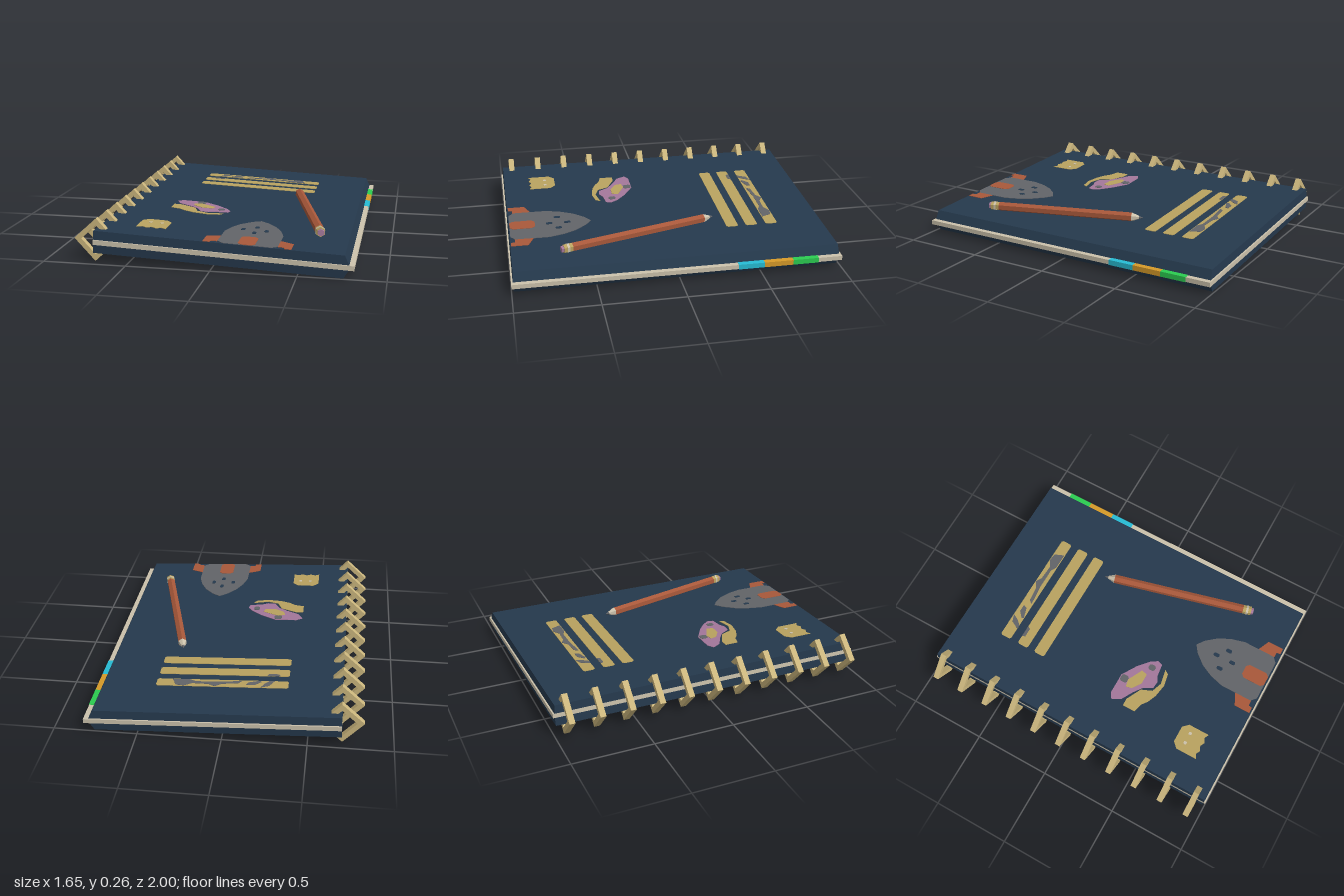
import * as THREE from 'three';

const mat = (name, color) => {
  const m = new THREE.MeshStandardMaterial({ color });
  m.name = name;
  m.flatShading = true;
  return m;
};

export function createModel() {
  const navy = mat('navy', 0x25394d), cream = mat('cream', 0xcbc1ab), gold = mat('gold', 0xb9a25f),
    brass = mat('brass', 0xcbb67d), green = mat('green', 0x2bcc50), amber = mat('amber', 0xd69a28),
    cyan = mat('cyan', 0x26bcd4), rust = mat('rust', 0xa8583a), grey = mat('grey', 0x626468),
    mauve = mat('mauve', 0xa3779a);

  const model = new THREE.Group();
  model.name = 'notebook';
  const book = new THREE.Group();
  book.name = 'tiltedBook';
  book.position.set(0.035, 0.1025, 0);
  book.rotation.z = -0.0447;
  model.add(book);

  const add = (parent, name, geo, material, x = 0, y = 0, z = 0) => {
    const mesh = new THREE.Mesh(geo, material);
    mesh.name = name;
    mesh.position.set(x, y, z);
    parent.add(mesh);
    return mesh;
  };

  // Covers: slabs whose outer face is pulled in on three sides
  const TOP = 0.067, PAGE = 0.014;
  for (const side of [1, -1]) {
    const geo = new THREE.BoxGeometry(1.485, TOP - PAGE, 1.98);
    const p = geo.attributes.position;
    for (let i = 0; i < p.count; i++) {
      if (p.getY(i) * side > 0) {
        if (p.getX(i) > 0) p.setX(i, p.getX(i) - 0.028);
        p.setZ(i, p.getZ(i) * 0.996);
      }
    }
    geo.computeVertexNormals();
    add(book, side > 0 ? 'frontCover' : 'backCover', geo, navy, 0.0125, side * (TOP + PAGE) / 2, 0);
  }

  // Pages and coloured index tabs on the open edge
  add(book, 'pages', new THREE.BoxGeometry(1.515, PAGE * 2, 2), cream, 0.0275, 0, 0);
  [['greenTab', green, -0.85, -0.69], ['amberTab', amber, -0.69, -0.51], ['cyanTab', cyan, -0.51, -0.35]]
    .forEach(([name, m, a, b]) =>
      add(book, name, new THREE.BoxGeometry(0.036, PAGE * 2 + 0.004, b - a), m, 0.769, 0, (a + b) / 2));

  // Diamond binding rings
  const diamond = (r, C) => new C([[r, 0], [0, r], [-r, 0], [0, -r]].map(([x, y]) => new THREE.Vector2(x, y)));
  const ringShape = diamond(0.13, THREE.Shape);
  ringShape.holes.push(diamond(0.088, THREE.Path));
  const ringGeo = new THREE.ExtrudeGeometry(ringShape, { depth: 0.036, bevelEnabled: false });
  ringGeo.translate(0, 0, -0.018);
  for (let i = 0; i < 11; i++) add(book, 'bindingRing', ringGeo, brass, -0.73, 0, -0.925 + i * 0.185);

  // Cover artwork: thin plates drawn in x and z
  const art = new THREE.Group();
  art.name = 'coverArt';
  art.position.set(-0.038, TOP, 0);
  book.add(art);
  const plate = (name, pts, m, layer = 0) => {
    const shape = new THREE.Shape(pts.map(([x, z]) => new THREE.Vector2(x, -z)));
    const geo = new THREE.ExtrudeGeometry(shape, { depth: 0.003, bevelEnabled: false });
    geo.rotateX(-Math.PI / 2);
    return add(art, name, geo, m, 0, layer * 0.002, 0);
  };
  const rect = (x0, z0, x1, z1, c = 0.01) => [[x0 + c, z0], [x1 - c, z0], [x1, z0 + c], [x1, z1 - c],
    [x1 - c, z1], [x0 + c, z1], [x0, z1 - c], [x0, z0 + c]];

  // Title bars with a worn first bar
  [-0.7, -0.57, -0.445].forEach((z) => plate('titleBar', rect(-0.365, z, 0.44, z + 0.075), gold));
  plate('barSmudge', [[-0.28, -0.625], [-0.25, -0.68], [-0.2, -0.698], [-0.22, -0.66], [-0.25, -0.625]], grey, 1);
  plate('barSmudge', [[-0.2, -0.64], [-0.16, -0.675], [-0.11, -0.675], [-0.12, -0.65], [-0.19, -0.627]], grey, 1);
  plate('barSmudge', [[-0.08, -0.635], [-0.06, -0.66], [0.04, -0.67], [0.08, -0.698], [0.12, -0.675], [0.22, -0.67],
    [0.27, -0.698], [0.32, -0.69], [0.345, -0.63], [0.24, -0.63], [0.2, -0.65], [0.06, -0.65]], grey, 1);
  plate('barSmudge', [[-0.31, -0.57], [-0.23, -0.57], [-0.24, -0.55], [-0.3, -0.55]], grey, 1);

  // Ringed planet
  plate('planet', [[-0.4, 0.16], [-0.36, 0.135], [-0.22, 0.135], [-0.12, 0.195], [-0.05, 0.255], [-0.02, 0.3],
    [-0.03, 0.335], [-0.11, 0.345], [-0.15, 0.365], [-0.2, 0.36], [-0.235, 0.3], [-0.29, 0.26], [-0.37, 0.215]], mauve);
  plate('planetBand', [[-0.28, 0.2], [-0.23, 0.19], [-0.13, 0.24], [-0.14, 0.28], [-0.21, 0.28], [-0.27, 0.24]], gold, 1);
  plate('planetSpot', rect(-0.26, 0.14, -0.21, 0.19), grey, 1);
  plate('planetSpot', rect(-0.1, 0.265, -0.06, 0.31), grey, 1);
  plate('planetRing', [[-0.4, 0.245], [-0.35, 0.245], [-0.25, 0.295], [-0.22, 0.365], [-0.15, 0.39], [-0.05, 0.37],
    [-0.07, 0.4], [-0.15, 0.415], [-0.24, 0.4], [-0.3, 0.375], [-0.34, 0.345], [-0.4, 0.33]], gold);

  // Ghost
  plate('ghost', [[-0.485, 0.68], [-0.45, 0.645], [-0.34, 0.645], [-0.305, 0.68], [-0.305, 0.82], [-0.335, 0.805],
    [-0.365, 0.82], [-0.395, 0.805], [-0.425, 0.82], [-0.455, 0.805], [-0.485, 0.82]], gold);
  [-0.425, -0.355].forEach((x) => plate('ghostEye', rect(x - 0.01, 0.702, x + 0.01, 0.722, 0.004), cream, 1));

  // Rocket
  plate('rocketBody', [[0.21, 0.465], [0.26, 0.5], [0.32, 0.57], [0.36, 0.65], [0.385, 0.74], [0.385, 0.95], [0.35, 0.98],
    [0.07, 0.98], [0.035, 0.95], [0.035, 0.74], [0.06, 0.65], [0.1, 0.57], [0.16, 0.5]], grey);
  for (const s of [1, -1]) {
    const pts = [[0.175, 0.84], [0.255, 0.875], [0.255, 0.98], [0.215, 0.98], [0.21, 0.955], [0.175, 0.955]]
      .map(([x, z]) => [0.21 + s * x, z]);
    plate('rocketFin', pts, rust);
  }
  plate('rocketFin', rect(0.155, 0.82, 0.255, 0.98, 0.02), rust, 1);
  [[0.21, 0.615], [0.135, 0.675], [0.275, 0.675], [0.21, 0.73]]
    .forEach(([x, z]) => plate('rocketRivet', rect(x - 0.012, z - 0.02, x + 0.012, z + 0.02, 0.006), navy, 1));

  // Hexagonal pencil lying on the cover
  const pencil = new THREE.Group();
  pencil.name = 'pencil';
  pencil.position.set(0.335, 0.029, -0.3);
  pencil.rotation.y = Math.atan2(0.265, 0.99);
  art.add(pencil);
  const R = 0.029;
  [['pencilLead', grey, 0, 0.022, 0.002, 0.01], ['pencilTip', cream, 0.022, 0.068, 0.01, R],
    ['pencilBody', rust, 0.068, 0.955, R, R], ['pencilFerrule', gold, 0.955, 1.01, R, R],
    ['pencilEraser', mauve, 1.01, 1.025, 0.023, 0.021]]
    .forEach(([name, m, a, b, r0, r1]) => {
      const geo = new THREE.CylinderGeometry(r1, r0, b - a, 6);
      geo.rotateX(Math.PI / 2);
      add(pencil, name, geo, m, 0, 0, (a + b) / 2);
    });
  add(pencil, 'ferruleBand', new THREE.CylinderGeometry(R + 0.002, R + 0.002, 0.014, 6).rotateX(Math.PI / 2),
    cream, 0, 0, 0.983);

  return model;
}
